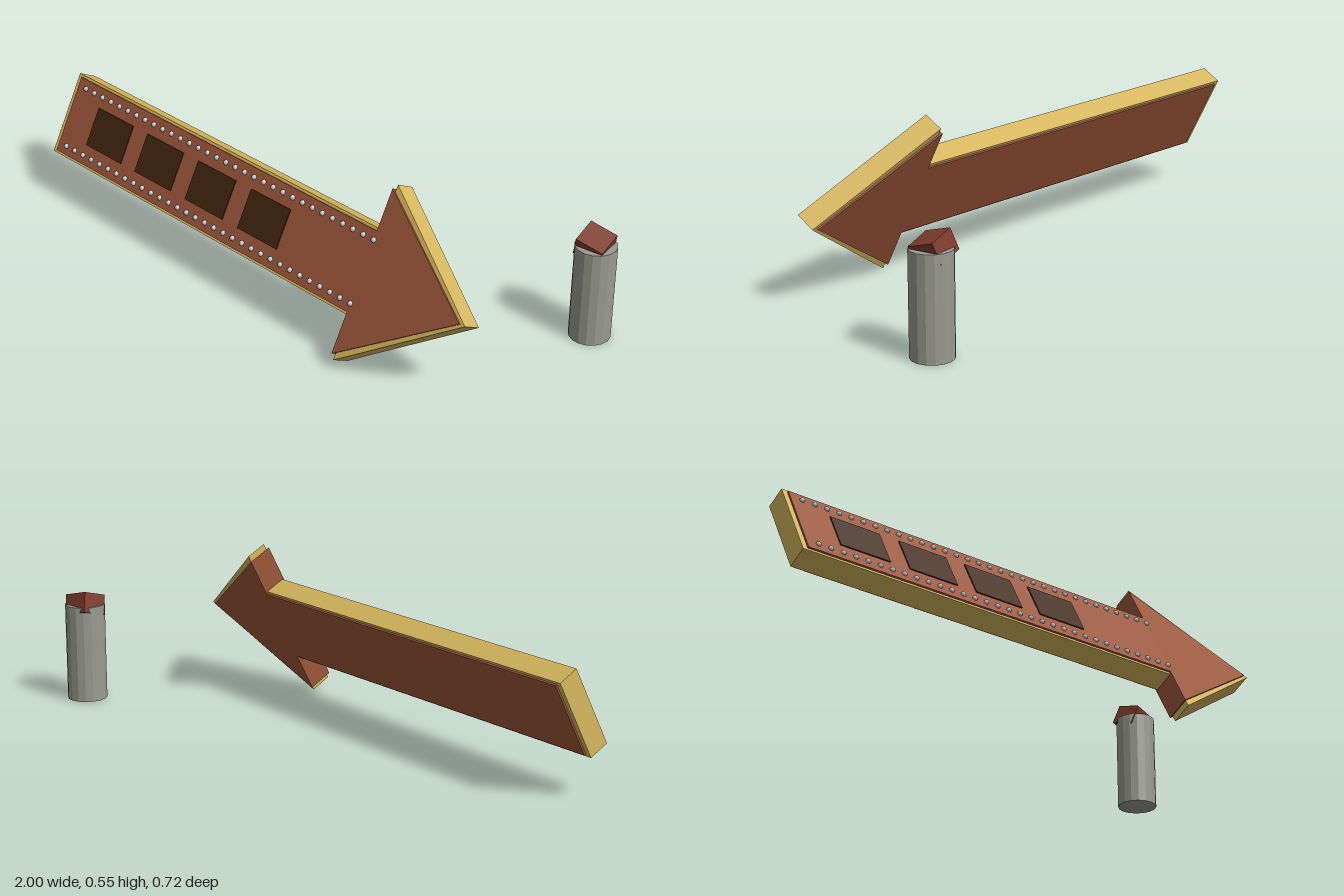
import * as THREE from 'three';

const mat = (name, color, flatShading = false) => {
  const m = new THREE.MeshStandardMaterial({ color, flatShading });
  m.name = name;
  return m;
};

// Arrow slab pointing along +x, centred on its own middle
function arrowSlab(halfLength, neck, shaft, head, depth) {
  const shape = new THREE.Shape([
    [-halfLength, -shaft], [neck, -shaft], [neck, -head], [halfLength, 0],
    [neck, head], [neck, shaft], [-halfLength, shaft],
  ].map(([x, y]) => new THREE.Vector2(x, y)));
  return new THREE.ExtrudeGeometry(shape, { depth, bevelEnabled: false })
    .translate(0, 0, -depth / 2);
}

export function createModel() {
  const brown = mat('rust brown', 0x9c5639);
  const gold = mat('gold', 0xd6b65e);
  const dark = mat('dark brown', 0x42260f);
  const silver = mat('silver', 0xc0c8cc);
  const grey = mat('stone grey', 0x999a91, true);
  const maroon = mat('maroon', 0x7d3c2d);

  const model = new THREE.Group();
  const add = (parent, name, geometry, material, x = 0, y = 0, z = 0) => {
    const mesh = new THREE.Mesh(geometry, material);
    mesh.name = name;
    mesh.position.set(x, y, z);
    parent.add(mesh);
    return mesh;
  };

  // Leaning arrow sign: gold rim around a slightly deeper brown board
  const sign = new THREE.Group();
  sign.name = 'arrowSign';
  sign.rotation.set(-0.488, -0.139, 0, 'YXZ');
  sign.position.set(-0.072, 0.277, 0.126);
  model.add(sign);
  add(sign, 'signRim', arrowSlab(0.923, 0.515, 0.143, 0.29, 0.072), gold);
  add(sign, 'signBoard', arrowSlab(0.905, 0.505, 0.134, 0.273, 0.084), brown);

  // Dark panels on the shaft
  const panel = new THREE.BoxGeometry(0.18, 0.135, 0.008);
  for (let i = 0; i < 4; i++) {
    add(sign, 'panel', panel, dark, -0.685 + i * 0.2525, 0, 0.042);
  }

  // Two rows of small bulbs along the shaft
  const bulb = new THREE.SphereGeometry(0.009, 8, 6);
  for (const y of [-0.105, 0.105]) {
    for (let i = 0; i < 32; i++) {
      add(sign, 'bulb', bulb, silver, -0.864 + i * 0.0442, y, 0.043);
    }
  }

  // Separate post with a tilted block on top
  add(model, 'post', new THREE.CylinderGeometry(0.0675, 0.0675, 0.33, 16), grey, 0.9325, 0.165, -0.292);
  const block = add(model, 'postBlock', new THREE.BoxGeometry(0.095, 0.07, 0.09), maroon, 0.926, 0.328, -0.296);
  block.rotation.set(0.28, 0, -0.25);

  return model;
}
